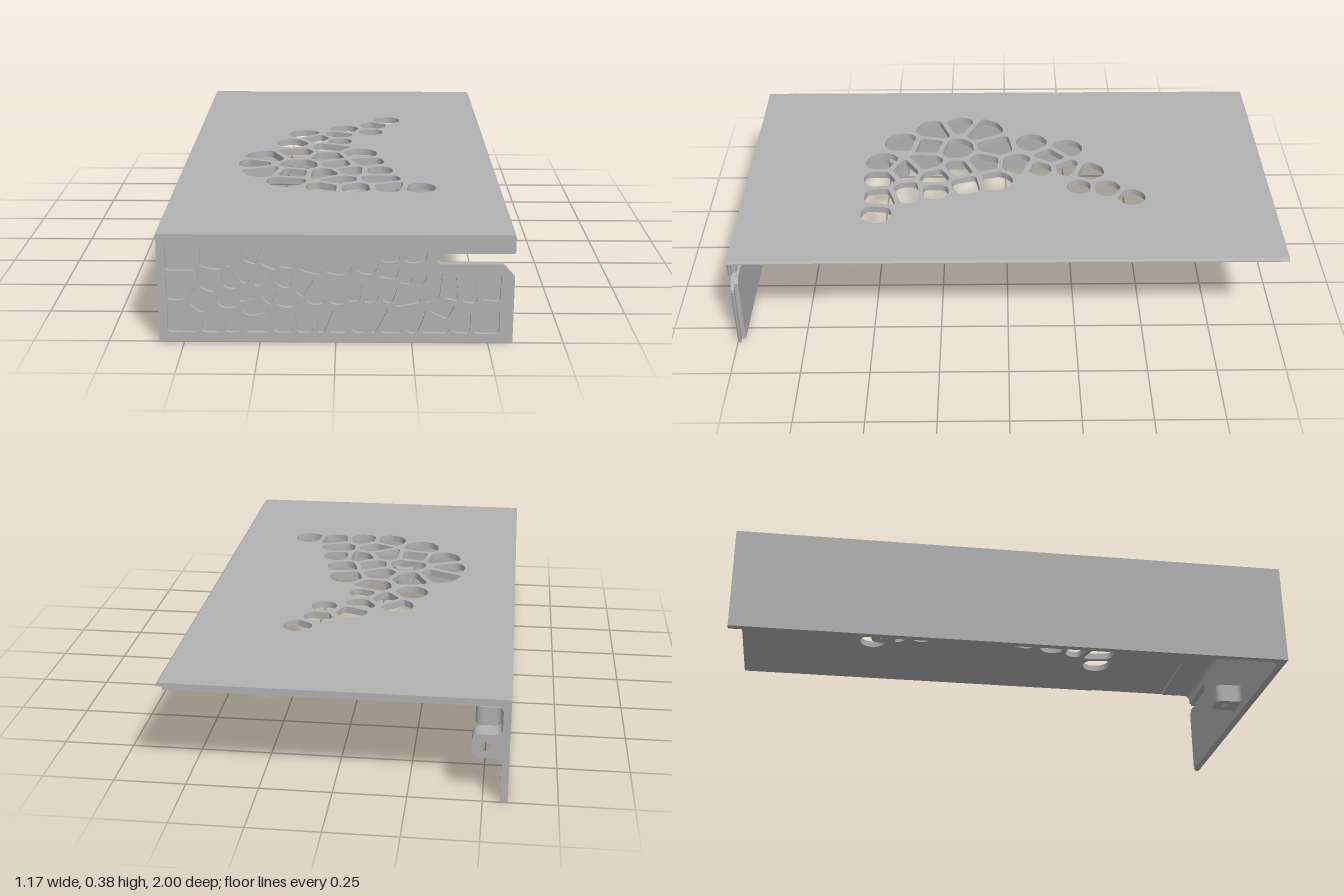
import * as THREE from 'three';

const grey = new THREE.MeshStandardMaterial({ color: 0xb2b2b2 });
grey.name = 'plain grey';

// Outer limits and the split levels of the stepped walls
const W = 0.583, H = 0.375, RIM = 0.363, INNER_Y = 0.35;
const INNER_X = -0.558, INNER_Z = 0.974, FACE_Z = 0.988, STEP_X = 0.56;

// Seeds of the vent cells: x, z, largest radius
const ventSeeds = [
  [0.195, -0.47, 0.055], [0.135, -0.38, 0.055], [0.02, -0.315, 0.065], [0.125, -0.275, 0.05],
  [-0.145, -0.24, 0.065], [-0.01, -0.235, 0.06], [-0.09, -0.18, 0.08], [0, -0.13, 0.05],
  [-0.19, -0.1, 0.065], [-0.035, -0.04, 0.075], [-0.165, 0.045, 0.085], [0.08, 0.045, 0.07],
  [-0.045, 0.09, 0.1], [-0.28, 0.1, 0.09], [0.1, 0.16, 0.075], [0, 0.19, 0.1],
  [-0.145, 0.2, 0.1], [-0.32, 0.185, 0.065], [0.045, 0.27, 0.1], [0.15, 0.275, 0.055],
  [-0.28, 0.29, 0.08], [-0.17, 0.31, 0.1], [-0.05, 0.315, 0.1], [-0.19, 0.415, 0.075],
  [0, 0.395, 0.1], [0.155, 0.385, 0.075], [-0.05, 0.485, 0.07], [0.06, 0.49, 0.065],
  [0.185, 0.475, 0.07], [0.295, 0.49, 0.06]];

// Seeds of the recessed front cells, row by row: x, y
const frontTop = [
  [-0.495, 0.29], [-0.4, 0.29], [-0.345, 0.305], [-0.275, 0.31], [-0.215, 0.29], [-0.165, 0.29],
  [-0.085, 0.28], [0.01, 0.28], [0.105, 0.28], [0.175, 0.3], [0.25, 0.31]];
const frontMiddle = [
  [-0.495, 0.195], [-0.41, 0.21], [-0.345, 0.21], [-0.3, 0.235], [-0.245, 0.225], [-0.44, 0.14],
  [-0.355, 0.155], [-0.29, 0.165], [-0.22, 0.175], [-0.165, 0.215], [-0.165, 0.155], [-0.11, 0.2],
  [-0.06, 0.17], [-0.005, 0.18], [0.06, 0.19], [0.12, 0.185], [0.18, 0.25], [0.17, 0.185],
  [0.235, 0.235], [0.235, 0.165], [0.275, 0.235], [0.32, 0.19], [0.375, 0.185], [0.43, 0.19], [0.495, 0.2]];
const frontBottom = [
  [-0.495, 0.085], [-0.395, 0.08], [-0.335, 0.07], [-0.27, 0.12], [-0.26, 0.055], [-0.175, 0.08],
  [-0.1, 0.085], [-0.035, 0.085], [0.005, 0.07], [0.07, 0.085], [0.14, 0.09], [0.18, 0.07],
  [0.25, 0.09], [0.355, 0.11], [0.33, 0.06], [0.405, 0.085], [0.49, 0.085]];

// Keeps the part of a convex polygon where n . p <= d
function clip(poly, nx, ny, d) {
  const out = [];
  poly.forEach((a, i) => {
    const b = poly[(i + 1) % poly.length];
    const da = nx * a[0] + ny * a[1] - d, db = nx * b[0] + ny * b[1] - d;
    if (da <= 0) out.push(a);
    if (da * db < 0) {
      const t = da / (da - db);
      out.push([a[0] + t * (b[0] - a[0]), a[1] + t * (b[1] - a[1])]);
    }
  });
  return out;
}

// Cell around seed i: its start polygon cut halfway to every neighbour, less half a rib
function cell(seeds, i, start, halfRib) {
  const [x, y] = seeds[i];
  let poly = start;
  seeds.forEach(([u, v], j) => {
    if (j === i) return;
    const len = Math.hypot(u - x, v - y), nx = (u - x) / len, ny = (v - y) / len;
    poly = clip(poly, nx, ny, nx * (x + u) / 2 + ny * (y + v) / 2 - halfRib);
  });
  return poly.filter((p, k) => {
    const q = poly[(k + 1) % poly.length];
    return Math.hypot(p[0] - q[0], p[1] - q[1]) > 0.003;
  });
}

// Closed path with softened corners
function rounded(poly, radius) {
  const path = new THREE.Path();
  const v = poly.map(p => new THREE.Vector2(...p));
  v.forEach((p, i) => {
    const toward = q => p.clone().lerp(q, Math.min(0.45, radius / p.distanceTo(q)));
    const a = toward(v[(i + v.length - 1) % v.length]), b = toward(v[(i + 1) % v.length]);
    if (i === 0) path.moveTo(a.x, a.y); else path.lineTo(a.x, a.y);
    path.quadraticCurveTo(p.x, p.y, b.x, b.y);
  });
  path.closePath();
  return path;
}

const polygon = pts => new THREE.Shape(pts.map(p => new THREE.Vector2(...p)));
const rect = (x0, y0, x1, y1) => [[x0, y0], [x1, y0], [x1, y1], [x0, y1]];
const extrude = (shape, depth) =>
  new THREE.ExtrudeGeometry(shape, { depth, bevelEnabled: false, curveSegments: 6 });
// Lays an extrusion flat: shape (x, -z), rising along y
const flat = (shape, depth) => extrude(shape, depth).rotateX(-Math.PI / 2);

export function createModel() {
  const group = new THREE.Group();
  const add = (name, geometry) => {
    const mesh = new THREE.Mesh(geometry, grey);
    mesh.name = name;
    group.add(mesh);
  };

  // Vent holes through the top
  const vents = ventSeeds.map(([x, z, r], i) => {
    const ring = Array.from({ length: 9 }, (_, k) => {
      const a = k / 9 * Math.PI * 2 + i;
      return [x + r * Math.cos(a), z + r * Math.sin(a)];
    });
    return cell(ventSeeds, i, ring, 0.01).map(([u, w]) => [u, -w]);
  }).filter(p => p.length > 2).map(p => rounded(p, 0.018));

  // Top: outer skin, and an inner layer with a shallow pocket at its open edge
  const skin = polygon(rect(-W, -1, 0.576, 1));
  skin.holes = vents;
  add('topSkin', flat(skin, H - RIM).translate(0, RIM, 0));
  const lining = polygon([[INNER_X, -FACE_Z], [STEP_X, -FACE_Z], [STEP_X, -0.85], [0.23, -0.85],
    [0.23, -0.53], [STEP_X, -0.53], [STEP_X, 1], [INNER_X, 1]]);
  lining.holes = vents;
  add('topLining', flat(lining, RIM - INNER_Y).translate(0, INNER_Y, 0));
  add('topEdge', extrude(polygon([[0.576, RIM], [W, RIM], [W, 0.367], [0.576, H]]), 2).translate(0, 0, -1));

  // Side wall
  add('sideWall', new THREE.BoxGeometry(INNER_X + W, RIM, 1 + FACE_Z)
    .translate((INNER_X - W) / 2, RIM / 2, (FACE_Z - 1) / 2));

  // Front outline with the cable slot cut in from the open end
  const frontShape = right => {
    const s = new THREE.Shape();
    s.moveTo(-W, 0);
    s.lineTo(right, 0);
    s.lineTo(right, 0.235 + (W - right));
    s.lineTo(0.54, 0.275);
    s.lineTo(0.345, 0.275);
    s.absarc(0.345, 0.2935, 0.0185, -Math.PI / 2, Math.PI / 2, true);
    s.lineTo(right, 0.312);
    s.lineTo(right, RIM);
    s.lineTo(-W, RIM);
    return s;
  };
  const frontSeeds = [...frontTop, ...frontMiddle, ...frontBottom];
  const face = frontShape(0.576);
  face.holes = frontSeeds.map(([x], i) => {
    const field = x > 0.29 ? rect(0.28, 0.032, 0.538, 0.246) : rect(-0.555, 0.032, 0.296, 0.343);
    return cell(frontSeeds, i, field, 0.006);
  }).filter(p => p.length > 2).map(p => rounded(p, 0.018));
  add('frontFace', extrude(face, 1 - FACE_Z).translate(0, 0, FACE_Z));
  add('frontBacking', extrude(frontShape(STEP_X), FACE_Z - INNER_Z).translate(0, 0, INNER_Z));
  for (const [y0, y1] of [[0, 0.235], [0.312, RIM]]) {
    const edge = polygon([[0.576, -1], [W, -0.993], [W, -FACE_Z], [0.576, -FACE_Z]]);
    add('frontEdge', flat(edge, y1 - y0).translate(0, y0, 0));
  }

  // Concave fillets in the inner corners
  const fillet = r => {
    const s = new THREE.Shape();
    s.moveTo(0, 0);
    s.lineTo(r, 0);
    s.quadraticCurveTo(r * 0.17, r * 0.17, 0, r);
    return s;
  };
  add('cornerFillet', flat(fillet(0.03), INNER_Y).translate(INNER_X, 0, INNER_Z));
  add('sideFillet', extrude(fillet(0.02), 1 + INNER_Z).rotateZ(-Math.PI / 2).translate(INNER_X, INNER_Y, -1));
  add('frontFillet', extrude(fillet(0.02), STEP_X - INNER_X).rotateZ(-Math.PI / 2)
    .rotateY(Math.PI / 2).translate(INNER_X, INNER_Y, INNER_Z));

  // Screw lugs: flared foot, rounded nose, drilled through
  const lug = () => {
    const s = new THREE.Shape();
    s.moveTo(-0.068, 0);
    s.quadraticCurveTo(-0.043, 0, -0.043, 0.025);
    s.lineTo(-0.043, 0.065);
    s.quadraticCurveTo(-0.043, 0.1, -0.015, 0.1);
    s.lineTo(0.015, 0.1);
    s.quadraticCurveTo(0.043, 0.1, 0.043, 0.065);
    s.lineTo(0.043, 0.025);
    s.quadraticCurveTo(0.043, 0, 0.068, 0);
    s.closePath();
    s.holes.push(new THREE.Path().absarc(0, 0.055, 0.017, 0, Math.PI * 2, true));
    return flat(s, 0.07).translate(0, -0.035, 0);
  };
  add('frontLug', lug().translate(-0.08, 0.065, INNER_Z));
  for (const z of [0.46, -0.46]) add('sideLug', lug().rotateY(-Math.PI / 2).translate(INNER_X, 0.065, z));
  add('rearLug', lug().rotateY(-Math.PI / 2).rotateX(Math.PI / 2).translate(INNER_X, 0.19, -0.938));

  return group;
}
